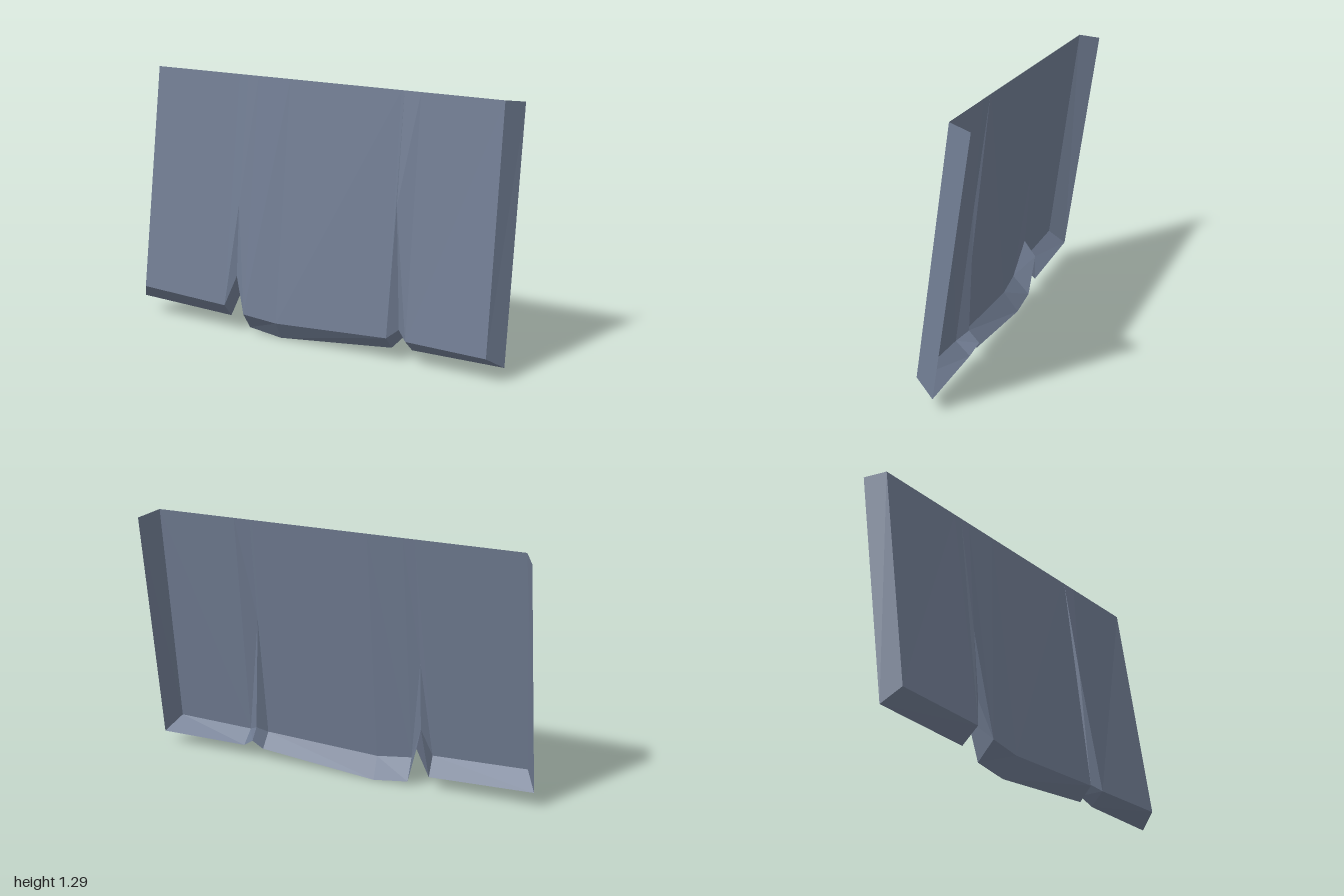
import * as THREE from 'three';

export function createModel() {
  const group = new THREE.Group();
  const slate = new THREE.MeshStandardMaterial({ color: 0x707c92, side: THREE.DoubleSide, flatShading: true });
  slate.name = 'slateBlue';

  // Ruled sheet between a lower and an upper chain of points
  function sheet(name, lower, upper) {
    const pos = [];
    for (let i = 0; i < lower.length - 1; i++) {
      pos.push(...lower[i], ...lower[i + 1], ...upper[i + 1]);
      pos.push(...lower[i], ...upper[i + 1], ...upper[i]);
    }
    const geo = new THREE.BufferGeometry();
    geo.setAttribute('position', new THREE.Float32BufferAttribute(pos, 3));
    geo.computeVertexNormals();
    const mesh = new THREE.Mesh(geo, slate);
    mesh.name = name;
    group.add(mesh);
  }

  // Fold line along the bottom of the panel, with two notches
  const fold = [
    [-0.945, 0.17, 0.12], [-0.46, 0.15, 0.13], [-0.41, 0.3, 0.088], [-0.35, 0.12, 0.13], [-0.17, 0.1, 0.12],
    [0.43, 0.13, 0.115], [0.475, 0.165, 0.07], [0.53, 0.13, 0.115], [0.945, 0.13, 0.14],
  ];
  // Free lower edge of the folded-back lip
  const hem = [
    [-1, 0.09, 0.045], [-0.47, 0.07, 0.05], [-0.41, 0.22, 0.03], [-0.36, 0.025, 0.05], [-0.18, 0, 0.05],
    [0.43, 0.06, 0.05], [0.475, 0.11, 0.02], [0.535, 0.065, 0.045], [1, 0.065, 0.045],
  ];
  const topLeft = [0.93, 1.295, -0.025], topRight = [-0.93, 1.295, -0.045];
  const creaseTips = { 2: [-0.41, 0.66, 0.057], 6: [0.445, 0.765, 0.05] };

  // Main panel, running up to the crease tips above each notch
  const base = fold.map((p, i) => creaseTips[i] || p);
  const top = base.map(([x]) => {
    const t = (x + 0.945) / 1.89;
    return topRight.map((v, k) => v + (topLeft[k] - v) * t);
  });
  sheet('frontPanel', base, top);

  // Pinched creases between notch and tip
  for (const i of [2, 6]) {
    const tip = creaseTips[i];
    sheet(i === 2 ? 'rightCrease' : 'leftCrease', fold.slice(i - 1, i + 2), [tip, tip, tip]);
  }

  // Bottom lip and the two side flanges
  sheet('bottomLip', hem, fold);
  sheet('rightFlange', [hem[0], fold[0]], [[-0.98, 1.275, -0.14], topRight]);
  sheet('leftFlange', [fold[8], hem[8]], [topLeft, [0.985, 1.275, -0.14]]);
  return group;
}
